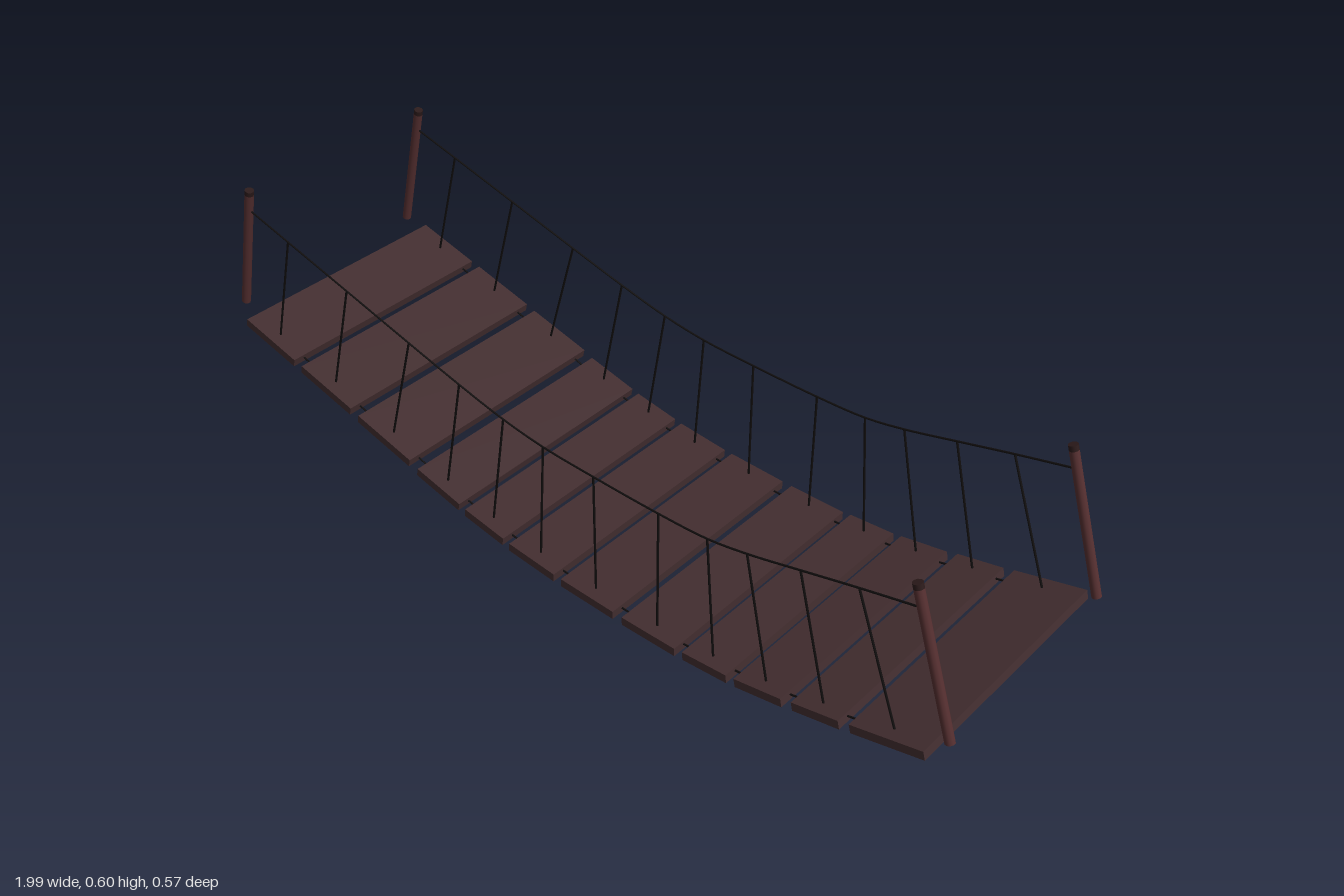
import * as THREE from 'three';

const plankMat = new THREE.MeshStandardMaterial({ color: 0x422d2f });
plankMat.name = 'plank wood';
const postMat = new THREE.MeshStandardMaterial({ color: 0x552f30 });
postMat.name = 'post wood';
const capMat = new THREE.MeshStandardMaterial({ color: 0x2b1a1a });
capMat.name = 'post end grain';
const ropeMat = new THREE.MeshStandardMaterial({ color: 0x100d0d });
ropeMat.name = 'dark rope';

const PIVOT = 0.24, HALF = 0.252, UP = new THREE.Vector3(0, 1, 0);

// Planks: left x, right x, centre y, tilt in degrees
const planks = [
  [-0.953, -0.785, 0.212, -14], [-0.765, -0.597, 0.166, -14], [-0.577, -0.407, 0.117, -14],
  [-0.387, -0.253, 0.070, -13], [-0.238, -0.12, 0.041, -9], [-0.103, 0.03, 0.023, -4.5],
  [0.05, 0.197, 0.016, -1], [0.222, 0.364, 0.016, 1], [0.384, 0.498, 0.026, 5],
  [0.516, 0.634, 0.046, 11], [0.655, 0.768, 0.078, 13], [0.788, 0.954, 0.12, 15],
];

// Where each hanger meets the hand rope
const hangerTops = [
  [-0.784, 0.503], [-0.596, 0.455], [-0.404, 0.406], [-0.254, 0.369], [-0.126, 0.342], [-0.013, 0.328],
  [0.126, 0.324], [0.297, 0.324], [0.42, 0.33], [0.516, 0.348], [0.639, 0.38], [0.767, 0.414],
];

export function createModel() {
  const model = new THREE.Group();
  model.name = 'ropeBridge';
  const bridge = new THREE.Group();
  bridge.name = 'bridge';
  bridge.position.y = PIVOT;
  bridge.rotation.set(0.018, -0.0045, 0); // slight sideways lean
  model.add(bridge);

  const point = (x, y, z) => new THREE.Vector3(x, y - PIVOT, z);
  const add = (name, geo, mat) => {
    const mesh = new THREE.Mesh(geo, mat);
    mesh.name = name;
    bridge.add(mesh);
    return mesh;
  };
  const rod = (name, a, b, r, sides, mat) => {
    const dir = b.clone().sub(a);
    const mesh = add(name, new THREE.CylinderGeometry(r, r, dir.length(), sides), mat);
    mesh.position.copy(a).add(b).multiplyScalar(0.5);
    mesh.quaternion.setFromUnitVectors(UP, dir.normalize());
  };
  const rope = (name, pts) => add(name,
    new THREE.TubeGeometry(new THREE.CatmullRomCurve3(pts), 72, 0.0022, 6), ropeMat);

  // Walkway planks
  for (const [x0, x1, y, deg] of planks) {
    const a = THREE.MathUtils.degToRad(deg);
    const length = (x1 - x0 - 0.02 * Math.abs(Math.sin(a))) / Math.cos(a);
    const plank = add('plank', new THREE.BoxGeometry(length, 0.02, 0.563), plankMat);
    plank.position.copy(point((x0 + x1) / 2, y, 0));
    plank.rotation.z = a;
  }

  for (const z of [HALF, -HALF]) {
    // Leaning end posts with dark end grain
    for (const [bottom, top] of [
      [point(-0.983, 0.265, z), point(-0.9, 0.59, z)],
      [point(0.983, 0.175, z), point(0.882, 0.497, z)],
    ]) {
      const neck = bottom.clone().lerp(top, 0.965);
      rod('post', bottom, neck, 0.0105, 10, postMat);
      rod('postCap', neck, top, 0.0105, 10, capMat);
    }

    // Hand rope and deck rope
    rope('handRope', [point(-0.91, 0.535, z),
      ...hangerTops.map(([x, y]) => point(x, y, z)), point(0.895, 0.446, z)]);
    rope('deckRope', planks.map(([x0, x1, y]) => point((x0 + x1) / 2, y, z)));

    // Hangers from the hand rope to each plank
    hangerTops.forEach(([x, y], i) => {
      const [x0, x1, py] = planks[i];
      rod('hanger', point((x0 + x1) / 2, py, z), point(x, y, z), 0.0025, 6, ropeMat);
    });
  }
  return model;
}
